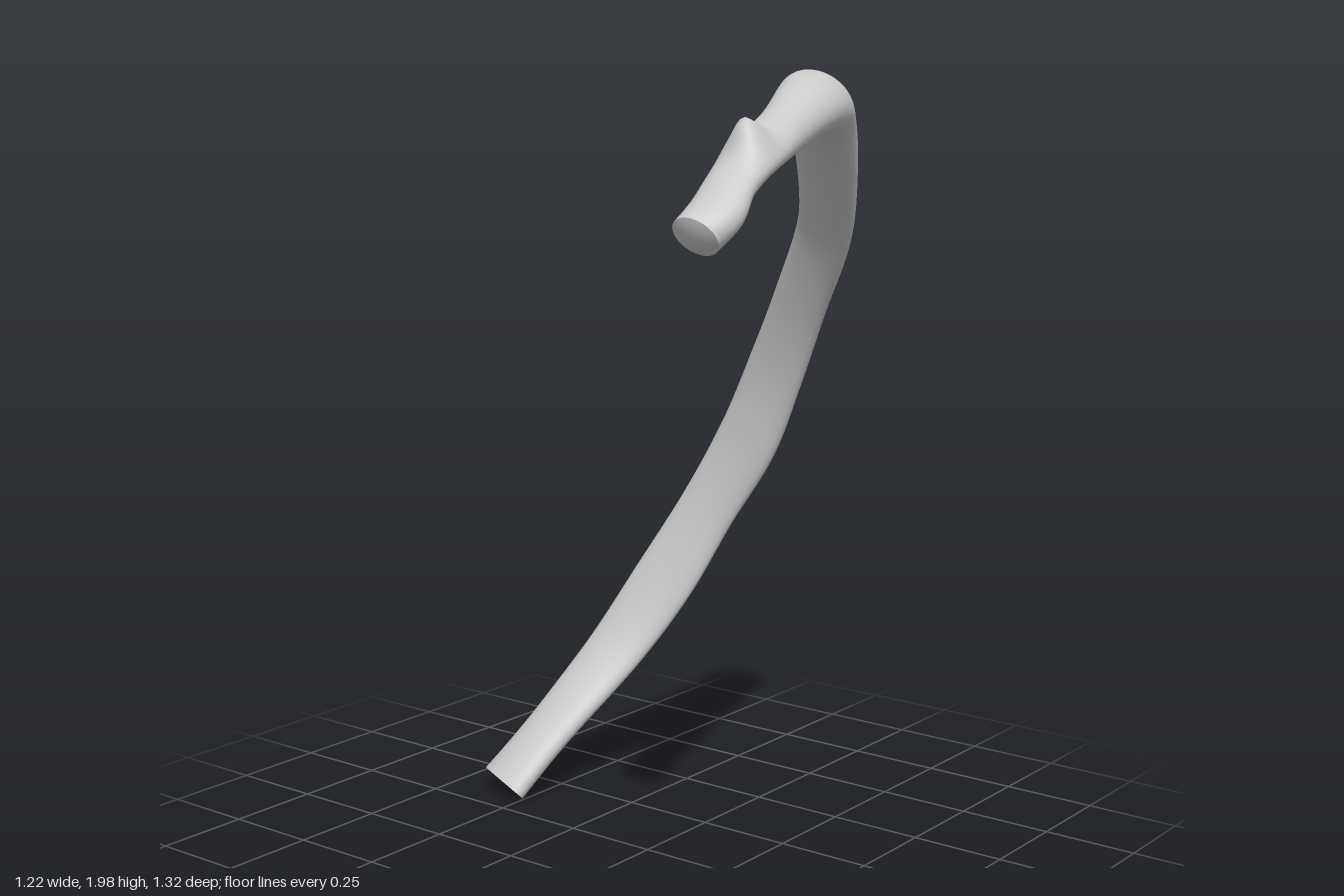
import * as THREE from 'three';

// Stations along the rib: centre x, y, z, then half width and half thickness
const STATIONS = [
  [0.085, 0.045, -0.57, 0.097, 0.046],
  [0.22, 0.20, -0.50, 0.084, 0.042],
  [0.38, 0.40, -0.405, 0.088, 0.037],
  [0.475, 0.60, -0.305, 0.092, 0.034],
  [0.535, 0.80, -0.205, 0.086, 0.034],
  [0.566, 1.00, -0.095, 0.092, 0.038],
  [0.557, 1.20, 0.0, 0.087, 0.038],
  [0.512, 1.40, 0.108, 0.08, 0.043],
  [0.43, 1.60, 0.232, 0.08, 0.05],
  [0.29, 1.785, 0.325, 0.09, 0.058],
  [0.17, 1.892, 0.39, 0.092, 0.063],
  [0.05, 1.926, 0.452, 0.088, 0.065],
  [-0.20, 1.868, 0.53, 0.062, 0.05],
  [-0.39, 1.81, 0.575, 0.066, 0.038],
  [-0.47, 1.76, 0.582, 0.064, 0.038],
  [-0.53, 1.708, 0.59, 0.07, 0.045],
  [-0.588, 1.668, 0.584, 0.06, 0.05],
];
const RINGS = 144, SIDES = 32;

const curveOf = (pick) => new THREE.CatmullRomCurve3(STATIONS.map((s) => new THREE.Vector3(...pick(s))));

// Direction of the flat section's long axis: it tilts down along the arc and levels at both ends
function wideAxis(u) {
  const tilt = THREE.MathUtils.smoothstep(u, 0, 0.19);
  const level = THREE.MathUtils.smoothstep(u, 0.66, 0.88);
  return new THREE.Vector3(-0.3 * (1 - tilt), -0.48 * tilt * (1 - level), 0.9);
}

// One ring of points round the shaft at u = 0..1
function makeRing(u, centre, size) {
  const c = centre.getPoint(u), t = centre.getTangent(u), s = size.getPoint(u);
  const w = wideAxis(u);
  w.addScaledVector(t, -w.dot(t)).normalize();
  const n = new THREE.Vector3().crossVectors(t, w);
  const ring = [];
  for (let j = 0; j < SIDES; j++) {
    const a = (j / SIDES) * Math.PI * 2;
    const p = c.clone()
      .addScaledVector(w, Math.cos(a) * s.x)
      .addScaledVector(n, Math.sin(a) * s.y);
    // Tubercle: a knob raised on the upper side of the neck
    const up = Math.max(0, (p.y - c.y) / s.y);
    const knob = up * Math.exp(-(((p.x + 0.39) / 0.042) ** 2) - ((p.z - 0.58) / 0.05) ** 2);
    p.y += 0.058 * knob;
    p.x -= 0.02 * knob;
    ring.push(p);
  }
  return ring;
}

// Smooth tube skin through all the rings
function skinGeometry(rings) {
  const index = [];
  for (let i = 0; i < rings.length - 1; i++) {
    for (let j = 0; j < SIDES; j++) {
      const k = (j + 1) % SIDES;
      const a = i * SIDES + j, b = i * SIDES + k, c = a + SIDES, d = b + SIDES;
      index.push(a, b, c, b, d, c);
    }
  }
  const g = new THREE.BufferGeometry().setFromPoints(rings.flat());
  g.setIndex(index);
  g.computeVertexNormals();
  return g;
}

// Fan that closes an end, pushed out (+) or in (-) at its middle
function capGeometry(ring, outward, bulge, flip) {
  const mid = ring.reduce((m, p) => m.add(p), new THREE.Vector3()).divideScalar(SIDES);
  const inner = ring.map((p) => p.clone().lerp(mid, 0.35).addScaledVector(outward, bulge * 0.7));
  const g = new THREE.BufferGeometry().setFromPoints([...ring, ...inner, mid.addScaledVector(outward, bulge)]);
  const index = [];
  const tri = (a, b, c) => (flip ? index.push(a, c, b) : index.push(a, b, c));
  for (let j = 0; j < SIDES; j++) {
    const k = (j + 1) % SIDES;
    tri(j, k, SIDES + j);
    tri(k, SIDES + k, SIDES + j);
    tri(SIDES + j, SIDES + k, 2 * SIDES);
  }
  g.setIndex(index);
  g.computeVertexNormals();
  return g;
}

export function createModel() {
  const group = new THREE.Group();
  group.name = 'ribBone';
  const material = new THREE.MeshStandardMaterial({ color: 0xcccccc });
  const add = (name, geometry) => {
    const mesh = new THREE.Mesh(geometry, material);
    mesh.name = name;
    group.add(mesh);
  };

  const centre = curveOf((s) => s.slice(0, 3));
  const size = curveOf((s) => [s[3], s[4], 0]);
  const rings = [];
  for (let i = 0; i <= RINGS; i++) rings.push(makeRing(i / RINGS, centre, size));

  add('shaft', skinGeometry(rings));
  // Slightly hollow cut end at the bottom, rounded head at the top
  add('lowerEnd', capGeometry(rings[0], centre.getTangent(0).negate(), -0.008, true));
  add('head', capGeometry(rings[RINGS], centre.getTangent(1), 0.012, false));
  return group;
}
